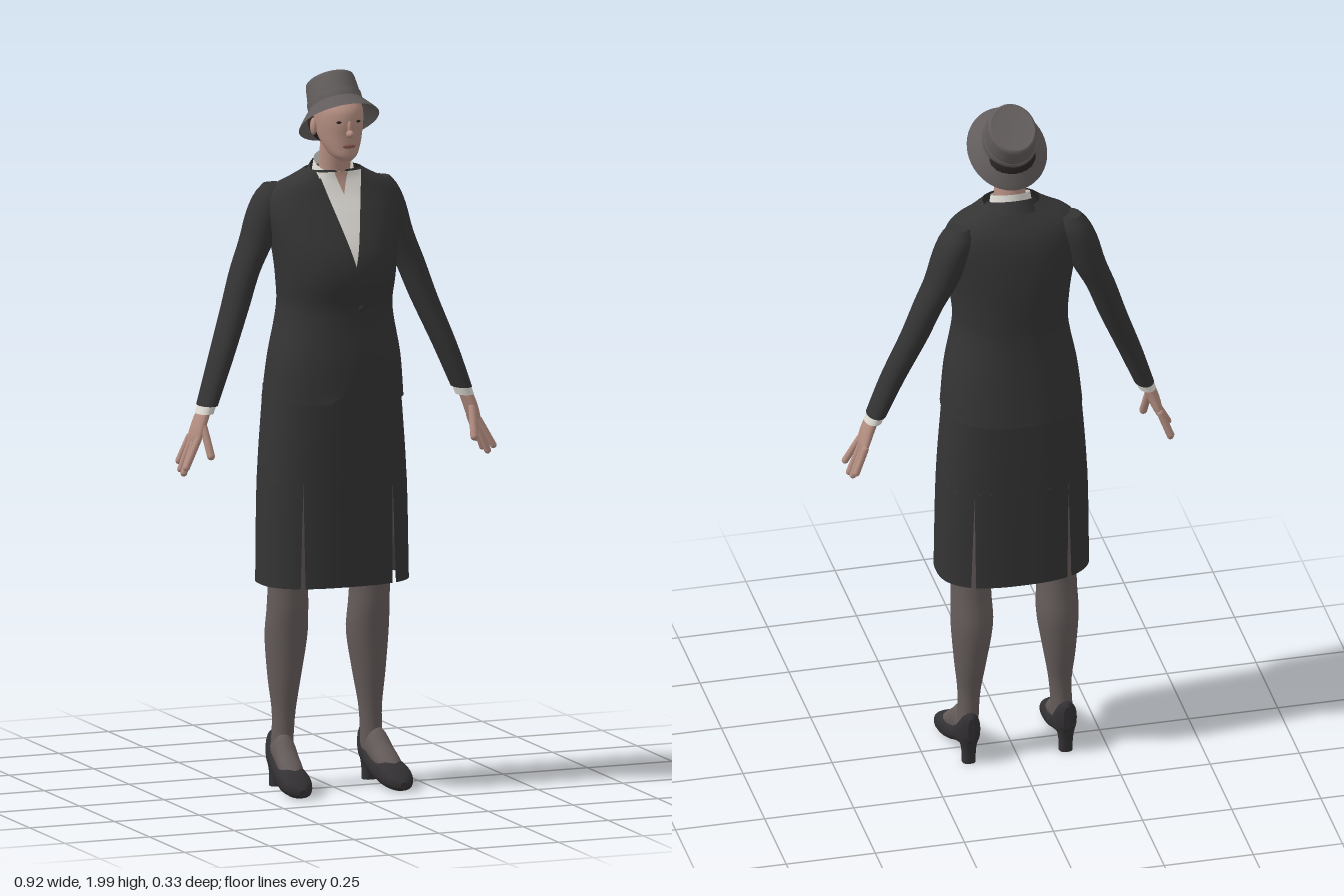
import * as THREE from 'three';

const mat = (name, color, side = THREE.FrontSide) =>
  Object.assign(new THREE.MeshStandardMaterial({ color, side }), { name });
const M = {
  wool: mat('charcoal wool', 0x343434, THREE.DoubleSide),
  felt: mat('grey felt', 0x625c5c, THREE.DoubleSide),
  shirt: mat('white cotton', 0xe0ddd6, THREE.DoubleSide),
  skin: mat('skin', 0xb58f82, THREE.DoubleSide),
  stocking: mat('stocking', 0x655c5b),
  shoe: mat('shoe leather', 0x333133),
  hair: mat('dark hair', 0x2c2523),
  lips: mat('lips', 0x8a5a52),
};
const { lerp, clamp } = THREE.MathUtils;

// Smooth and straight lookup in a table whose first column ascends
function find(T, y) {
  let i = 1;
  while (i < T.length - 1 && y > T[i][0]) i++;
  return [i, clamp((y - T[i - 1][0]) / (T[i][0] - T[i - 1][0]), 0, 1)];
}
function smooth(T, y) {
  const [i, k] = find(T, y), a = T[i - 1], b = T[i], p = T[i - 2] || a, n = T[i + 1] || b, h = b[0] - a[0];
  return a.map((_, c) => {
    const m0 = (b[c] - p[c]) / (b[0] - p[0]) * h, m1 = (n[c] - a[c]) / (n[0] - a[0]) * h;
    const k2 = k * k, k3 = k2 * k;
    return (2 * k3 - 3 * k2 + 1) * a[c] + (k3 - 2 * k2 + k) * m0 + (3 * k2 - 2 * k3) * b[c] + (k3 - k2) * m1;
  });
}
function straight(T, y) {
  const [i, k] = find(T, y);
  return lerp(T[i - 1][1], T[i][1], k);
}

// Mesh from rows of points; closed rows wrap round
function grid(name, material, rows, closed = false) {
  const n = rows[0].length, pos = rows.flat(2), idx = [];
  for (let j = 0; j < rows.length - 1; j++)
    for (let i = 0; i < (closed ? n : n - 1); i++) {
      const a = j * n + i, b = j * n + (i + 1) % n;
      idx.push(a, b, a + n, b, b + n, a + n);
    }
  const g = new THREE.BufferGeometry();
  g.setAttribute('position', new THREE.Float32BufferAttribute(pos, 3));
  g.setIndex(idx);
  g.computeVertexNormals();
  return named(name, new THREE.Mesh(g, material));
}
const named = (name, o) => Object.assign(o, { name });
const range = (n, f) => Array.from({ length: n + 1 }, (_, i) => f(i / n));

// Point on a rounded section [position, centre x, half width, low, high]
const pw = (v, n) => Math.sign(v) * Math.abs(v) ** (2 / n);
function sectionPoint([p, xc, rx, lo, hi], t, n, alongZ) {
  const s = rx * pw(Math.sin(t), n), c = (lo + hi) / 2 + (hi - lo) / 2 * pw(Math.cos(t), n);
  return alongZ ? [xc - s, c, p] : [xc + s, p, c];
}
function loft(name, material, T, { n = 2, seg = 32, steps = 30, alongZ = false, caps = true, warp = q => q } = {}) {
  const rows = range(steps, v => {
    const row = smooth(T, lerp(T[0][0], T.at(-1)[0], v));
    return range(seg - 1, u => warp(sectionPoint(row, u * (seg - 1) / seg * Math.PI * 2, n, alongZ)));
  });
  if (caps) {
    const mid = r => r.map(() => [0, 1, 2].map(c => r.reduce((s, q) => s + q[c], 0) / r.length));
    const a = rows[0], b = rows.at(-1);
    rows.unshift(mid(a), a);
    rows.push(b, mid(b));
  }
  return grid(name, material, rows, true);
}
function ball(name, material, p, r) {
  const m = named(name, new THREE.Mesh(new THREE.SphereGeometry(1, 24, 16), material));
  m.position.set(...p);
  m.scale.set(...r);
  return m;
}
function finger(name, a, b, r) {
  const A = new THREE.Vector3(...a), d = new THREE.Vector3(...b).sub(A), len = d.length();
  const m = named(name, new THREE.Mesh(new THREE.CapsuleGeometry(r, len - r, 6, 12), M.skin));
  m.position.copy(A).addScaledVector(d, 0.5);
  m.quaternion.setFromUnitVectors(new THREE.Vector3(0, 1, 0), d.normalize());
  return m;
}

// Jacket body sections, also used to lay the shirt front and lapels on it
const JN = 2.3, JACKET = [
  [1.085, 0, .194, -.164, .15], [1.2, 0, .182, -.15, .152], [1.34, 0, .157, -.136, .146],
  [1.42, 0, .162, -.136, .16], [1.47, 0, .168, -.136, .158], [1.52, 0, .176, -.134, .143],
  [1.6, 0, .188, -.124, .102], [1.65, 0, .182, -.11, .074], [1.68, 0, .155, -.092, .06],
  [1.7, 0, .112, -.077, .053], [1.72, 0, .078, -.062, .05]];
function jacketFront(x, y) {
  const [, , rx, lo, hi] = smooth(JACKET, y);
  return (lo + hi) / 2 + (hi - lo) / 2 * Math.max(0, 1 - Math.abs(x / rx) ** JN) ** (1 / JN);
}
const patch = (name, material, y0, y1, left, right, off) =>
  grid(name, material, range(40, v => range(12, u => {
    const y = lerp(y0, y1, v), x = lerp(left(y), right(y), u);
    return [x, y, jacketFront(x, y) + off(u)];
  })));

function jacket() {
  const g = named('jacket', new THREE.Group());
  // body with a small notch at the front hem
  g.add(loft('jacketBody', M.wool, JACKET, {
    n: JN, seg: 72, steps: 50, caps: false,
    warp: ([x, y, z]) => [x, y + (z > 0 ? Math.max(0, 1 - Math.abs(x + .02) / .04) * Math.max(0, 1.15 - y) * .55 : 0), z],
  }));
  const overlap = [[1.09, -.07], [1.11, -.035], [1.15, -.01], [1.3, .03], [1.37, .042]];
  g.add(patch('frontOverlap', M.wool, 1.09, 1.37, () => -.11, y => straight(overlap, y), u => .006 * u));
  // shirt front and open neck
  const vee = [[1.46, 0], [1.715, .066]], neck = [[1.655, 0], [1.715, .02]];
  g.add(patch('shirtFront', M.shirt, 1.46, 1.715, y => -straight(vee, y), y => straight(vee, y), () => .003));
  g.add(patch('openNeck', M.skin, 1.655, 1.715, y => -straight(neck, y), y => straight(neck, y), () => .005));
  // lapels, the right one crossing over
  const outer = [[1.365, -.04], [1.46, .045], [1.55, .09], [1.615, .12], [1.63, .088], [1.65, .1], [1.7, .078]];
  const cross = [[1.365, -.042], [1.465, 0], [1.7, .06]], under = [[1.4, 0], [1.465, 0], [1.7, .06]];
  g.add(patch('rightLapel', M.wool, 1.365, 1.7, y => -straight(outer, y), y => -straight(cross, y), () => .009));
  g.add(patch('leftLapel', M.wool, 1.42, 1.7, y => straight(under, y), y => straight(outer, y), () => .006));
  g.add(ball('button', M.shoe, [.02, 1.35, jacketFront(.02, 1.35) + .006], [.009, .009, .004]));
  // collars, higher at the back
  const collar = (name, m, gap, base, r0, r1) => grid(name, m, range(6, v => range(40, u => {
    const t = lerp(gap, Math.PI * 2 - gap, u), r = lerp(r0, r1, v), z = r * Math.cos(t);
    return [r * Math.sin(t), base + .04 * v - .45 * z, z];
  })));
  g.add(collar('shirtCollar', M.shirt, .3, 1.695, .06, .054));
  g.add(collar('jacketCollar', M.wool, .75, 1.675, .086, .064));
  return g;
}

function arm(side, s) {
  const g = named(side + 'Arm', new THREE.Group());
  const rows = R => R.map(([y, x, rx, z, rz]) => [y, x * s, rx, z - rz, z + rz]);
  g.add(loft('sleeve', M.wool, rows([
    [1.087, .375, .027, .005, .042], [1.2, .333, .033, -.008, .043], [1.34, .278, .038, -.034, .046],
    [1.44, .242, .041, -.048, .05], [1.52, .206, .047, -.054, .054], [1.6, .18, .05, -.054, .056],
    [1.65, .162, .045, -.051, .05], [1.676, .155, .03, -.05, .03]])));
  g.add(loft('cuff', M.shirt, rows([[1.065, .384, .024, .006, .035], [1.1, .372, .024, .005, .036]]), { steps: 3 }));
  g.add(loft('palm', M.skin, rows([
    [.98, .416, .009, .004, .034], [1.0, .411, .014, .005, .039], [1.04, .398, .018, .007, .034],
    [1.09, .378, .018, .006, .026]]), { steps: 12 }));
  [[.034, .046, .455, .92], [.013, .016, .45, .9], [-.008, -.014, .447, .906], [-.028, -.038, .443, .925]]
    .forEach(([z0, z1, x, y], i) => g.add(finger('finger' + (i + 1), [.412 * s, 1, z0], [x * s, y, z1], .0095)));
  g.add(finger('thumb', [.397 * s, 1.035, .03], [.388 * s, .95, .068], .011));
  return g;
}

function skirt() {
  const g = named('skirt', new THREE.Group()), P = Math.PI, c = .586;
  const S = [[.575, 0, .212, -.147, .126], [.87, 0, .206, -.148, .122], [1.12, 0, .188, -.146, .12]];
  const piece = (name, y0, y1, t0, t1, gap) => g.add(grid(name, M.wool, range(14, v => range(48, u => {
    const y = lerp(y0, y1, v), k = gap * (1 - v);
    return sectionPoint(smooth(S, y), lerp(t0 + k, t1 - k, u), 2.6);
  }))));
  piece('skirtUpper', .87, 1.12, 0, 2 * P, 0);
  // four panels parted by slits
  [['front', -c, c], ['left', c, P - c], ['back', P - c, P + c], ['right', P + c, 2 * P - c]]
    .forEach(([n, a, b]) => piece(n + 'Panel', .575, .87, a, b, .04));
  return g;
}

function leg(side, s) {
  const g = named(side + 'Leg', new THREE.Group());
  const rows = R => R.map(([p, x, ...r]) => [p, x * s, ...r]);
  g.add(loft('stockingLeg', M.stocking, rows([
    [.08, .134, .03, -.088, -.012], [.2, .128, .031, -.082, -.012], [.3, .125, .044, -.1, 0],
    [.42, .12, .058, -.11, .012], [.5, .12, .056, -.1, .024], [.57, .12, .055, -.095, .03],
    [.7, .11, .07, -.1, .06], [.9, .1, .085, -.11, .08]])));
  g.add(loft('instep', M.stocking, rows([
    [-.07, .135, .028, .05, .14], [-.02, .137, .031, .045, .155], [.02, .141, .033, .035, .12],
    [.06, .145, .032, .03, .088], [.085, .147, .02, .03, .068]]), { alongZ: true, steps: 16 }));
  g.add(loft('shoe', M.shoe, rows([
    [-.106, .134, .01, .075, .145], [-.09, .135, .028, .05, .157], [-.06, .136, .034, .045, .125],
    [-.02, .138, .037, .033, .09], [.02, .142, .039, .014, .078], [.06, .146, .043, .003, .076],
    [.1, .148, .042, 0, .062], [.13, .149, .031, 0, .043], [.146, .149, .01, .006, .026]]),
    { alongZ: true, n: 2.4 }));
  g.add(loft('heel', M.shoe, rows([[0, .136, .019, -.096, -.058], [.04, .136, .02, -.097, -.056],
    [.085, .136, .03, -.103, -.035]]), { steps: 10, n: 2.6 }));
  return g;
}

function head() {
  const g = named('head', new THREE.Group());
  g.add(loft('neck', M.skin, [[1.64, 0, .048, -.05, .045], [1.72, 0, .043, -.042, .053], [1.8, 0, .043, -.03, .075]]));
  g.add(loft('face', M.skin, [
    [1.752, 0, .016, .07, .104], [1.765, 0, .035, .03, .113], [1.79, 0, .05, 0, .113],
    [1.82, 0, .06, -.03, .114], [1.86, 0, .066, -.048, .116], [1.895, 0, .065, -.05, .107], [1.93, 0, .05, -.04, .07]]));
  g.add(ball('nose', M.skin, [0, 1.83, .116], [.01, .011, .017]), ball('noseBridge', M.skin, [0, 1.845, .113], [.007, .022, .009]));
  g.add(ball('mouth', M.lips, [0, 1.795, .112], [.019, .006, .004]));
  g.add(ball('hair', M.hair, [0, 1.85, -.002], [.071, .068, .062]));
  for (const s of [-1, 1]) {
    g.add(ball('eye', M.hair, [.026 * s, 1.862, .107], [.01, .004, .004]));
    g.add(ball('ear', M.skin, [.067 * s, 1.84, .02], [.009, .024, .014]));
  }
  // hat tipped backwards
  const hat = named('hat', new THREE.Group());
  const turn = (name, pts) => hat.add(named(name, new THREE.Mesh(
    new THREE.LatheGeometry(pts.map(p => new THREE.Vector2(...p)), 48), M.felt)));
  turn('brim', [[.128, 0], [.119, .012], [.104, .028], [.09, .043], [.085, .05]]);
  turn('band', [[.085, .046], [.087, .047], [.086, .068], [.083, .069]]);
  turn('crown', [[.085, .048], [.082, .08], [.078, .115], [.075, .123], [.07, .126]]);
  turn('crownTop', [[.07, .126], [.055, .124], [0, .122]]);
  hat.position.set(0, 1.85, .04);
  hat.rotation.x = -.576;
  hat.scale.x = .86;
  g.add(hat);
  return g;
}

export function createModel() {
  const model = named('woman', new THREE.Group());
  model.add(head(), jacket(), skirt());
  for (const [side, s] of [['left', 1], ['right', -1]]) model.add(arm(side, s), leg(side, s));
  return model;
}
